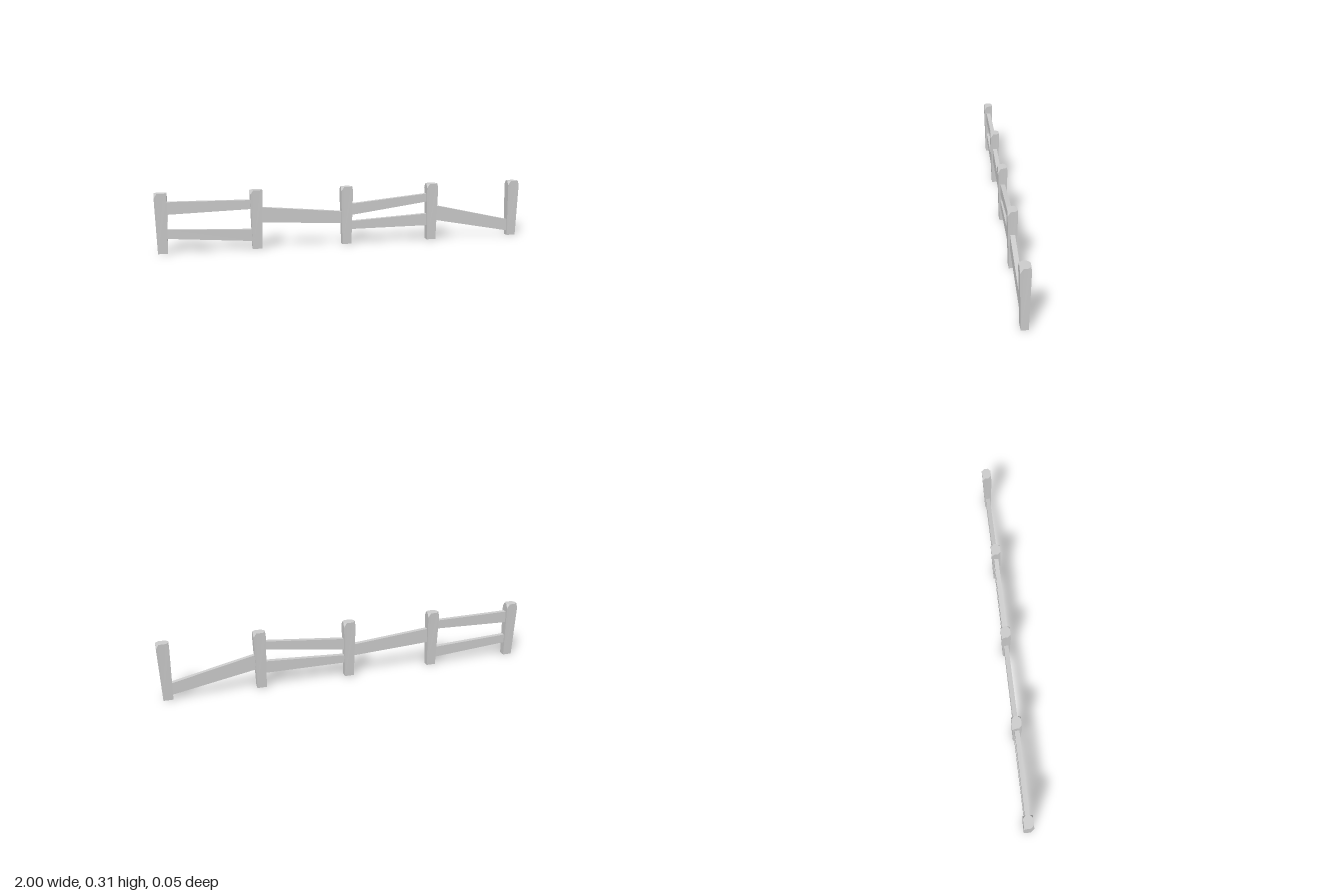
import * as THREE from 'three';

const material = new THREE.MeshStandardMaterial({ color: 0xcccccc, flatShading: true, side: THREE.DoubleSide });

// Flat-shaded mesh from polygons (corner lists, counter-clockwise from outside)
function polyMesh(name, faces) {
  const pos = [];
  for (const f of faces) {
    for (let i = 1; i < f.length - 1; i++) pos.push(...f[0], ...f[i], ...f[i + 1]);
  }
  const g = new THREE.BufferGeometry();
  g.setAttribute('position', new THREE.Float32BufferAttribute(pos, 3));
  g.computeVertexNormals();
  const mesh = new THREE.Mesh(g, material);
  mesh.name = name;
  return mesh;
}

// Post: narrows toward an open foot, the four top corners are cut off
function makePost(x) {
  const H = 0.313, shoulder = 0.29, cut = 0.015;
  const a = 0.032, b = 0.0245;   // half width and depth at the top
  const c = 0.025, d = 0.0175;   // half width and depth at the foot
  const signs = [[1, 1], [1, -1], [-1, -1], [-1, 1]]; // counter-clockwise from above
  const faces = [], cap = [];
  const corners = signs.map(([sx, sz], i) => {
    const onX = [sx * a, H, sz * (b - cut)];
    const onZ = [sx * (a - cut), H, sz * b];
    const [enter, leave] = i % 2 === 0 ? [onZ, onX] : [onX, onZ];
    return { foot: [sx * c, 0, sz * d], side: [sx * a, shoulder, sz * b], enter, leave };
  });
  corners.forEach((p, i) => {
    const q = corners[(i + 1) % 4];
    faces.push([p.foot, q.foot, q.side, q.enter, p.leave, p.side]); // side
    faces.push([p.side, p.leave, p.enter]);                         // cut corner
    cap.push(p.enter, p.leave);
  });
  faces.push(cap);
  const post = polyMesh('post', faces);
  post.position.x = x;
  return post;
}

// Rail: a plank with its own height at each end
function makeRail(name, x0, x1, bottom0, top0, bottom1, top1) {
  const t = 0.012;
  const ring = (x, lo, hi) => [[x, lo, t], [x, lo, -t], [x, hi, -t], [x, hi, t]];
  const L = ring(x0, bottom0, top0), R = ring(x1, bottom1, top1);
  const faces = [[...L].reverse(), R];
  for (let i = 0; i < 4; i++) {
    const j = (i + 1) % 4;
    faces.push([L[i], L[j], R[j], R[i]]);
  }
  return polyMesh(name, faces);
}

export function createModel() {
  const fence = new THREE.Group();
  fence.name = 'fence';
  const spacing = 0.484, inset = 0.02;

  for (let i = -2; i <= 2; i++) fence.add(makePost(i * spacing));

  // bay, then bottom and top heights at the -x end and the +x end
  const rails = [
    ['upperRail', -2, 0.202, 0.267, 0.214, 0.261],
    ['lowerRail', -2, 0.077, 0.125, 0.042, 0.103],
    ['singleRail', -1, 0.140, 0.220, 0.115, 0.179],
    ['upperRail', 0, 0.157, 0.218, 0.215, 0.259],
    ['lowerRail', 0, 0.080, 0.123, 0.080, 0.146],
    ['singleRail', 1, 0.108, 0.190, 0.025, 0.089],
  ];
  for (const [name, bay, ...heights] of rails) {
    fence.add(makeRail(name, bay * spacing + inset, (bay + 1) * spacing - inset, ...heights));
  }
  return fence;
}
